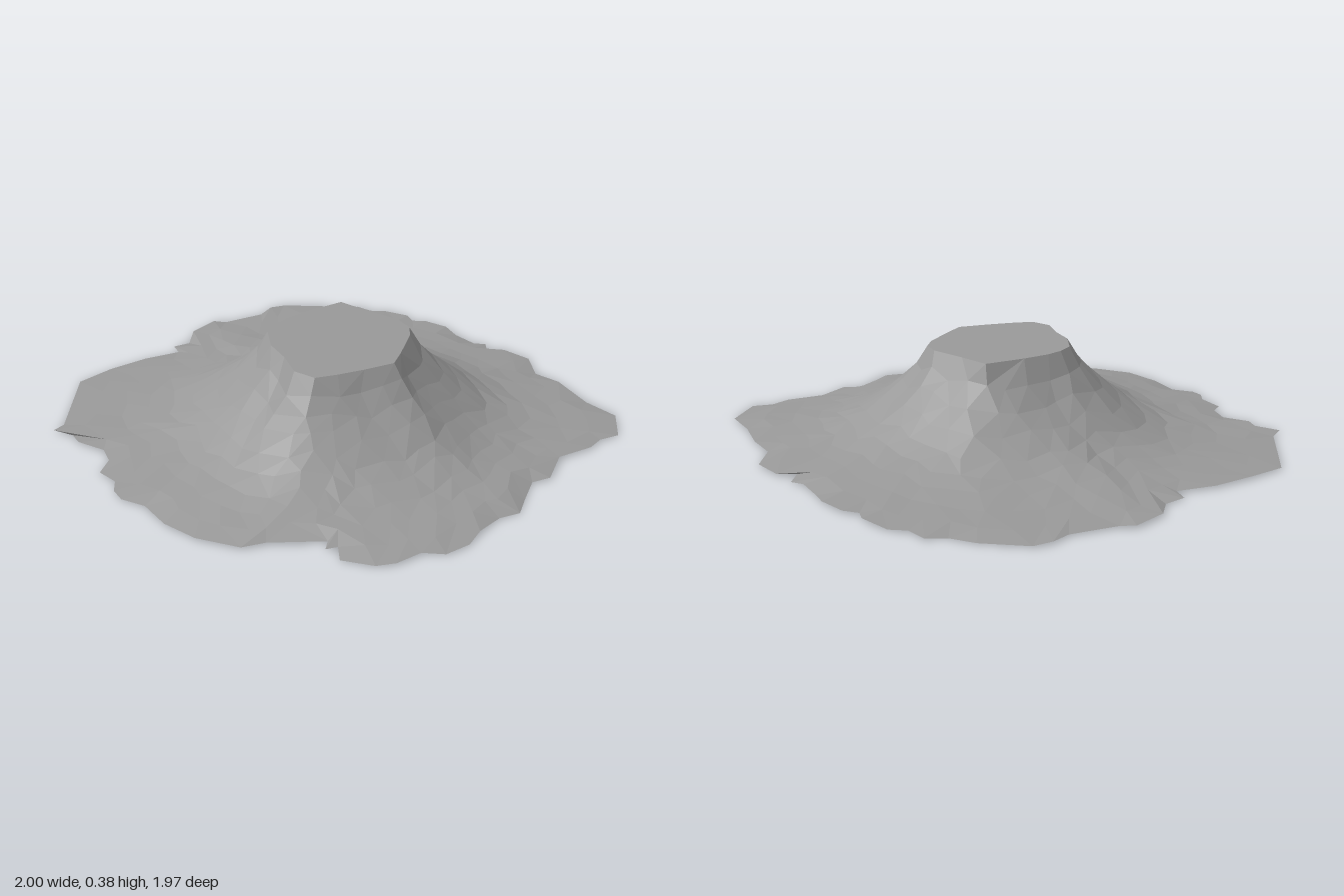
import * as THREE from 'three';

// Ragged foot of the hill, [x, z] pairs running from the left side (+x) round by the front
const FOOT = [
  [1, 0], [0.97, 0.08], [0.98, 0.2], [1, 0.28], [0.98, 0.38], [0.92, 0.44], [0.9, 0.54], [0.86, 0.6],
  [0.75, 0.66], [0.7, 0.62], [0.68, 0.66], [0.65, 0.62], [0.51, 0.78], [0.47, 0.86], [0.32, 0.94],
  [0.17, 0.96], [0.03, 0.94], [-0.06, 0.98], [-0.12, 0.97], [-0.17, 0.93], [-0.27, 0.93], [-0.31, 0.86],
  [-0.39, 0.83], [-0.5, 0.87], [-0.58, 0.85], [-0.65, 0.89], [-0.67, 0.83], [-0.93, 0.58], [-0.93, 0.42],
  [-0.91, 0.25], [-0.86, 0.1], [-0.92, 0.08], [-0.91, 0], [-0.98, -0.08], [-1, -0.22], [-0.96, -0.26],
  [-0.91, -0.44], [-0.93, -0.52], [-0.91, -0.59], [-0.78, -0.72], [-0.69, -0.77], [-0.65, -0.84],
  [-0.57, -0.85], [-0.52, -0.9], [-0.4, -0.93], [-0.35, -0.91], [-0.3, -0.95], [-0.19, -0.97], [-0.11, -0.95],
  [0.01, -0.94], [0.05, -0.97], [0.1, -0.92], [0.15, -0.98], [0.28, -0.99], [0.39, -0.9], [0.51, -0.9],
  [0.69, -0.85], [0.84, -0.84], [0.94, -0.71], [0.91, -0.63], [0.92, -0.55], [0.88, -0.4], [0.94, -0.26],
  [0.91, -0.19], [0.96, -0.08],
];
// Edge of the flat summit, same direction
const RIM = [
  [0.37, 0], [0.33, 0.12], [0.29, 0.22], [0.25, 0.3], [0.16, 0.32], [0.05, 0.27], [-0.06, 0.24], [-0.16, 0.17],
  [-0.19, 0.1], [-0.2, 0.03], [-0.19, -0.08], [-0.16, -0.24], [-0.03, -0.26], [0.12, -0.29], [0.2, -0.27],
  [0.25, -0.22], [0.29, -0.15], [0.33, -0.08],
];
// Slope: [distance out from the rim, height]
const SLOPE = [
  [0, 0.375], [0.04, 0.32], [0.1, 0.25], [0.17, 0.19], [0.25, 0.125], [0.34, 0.073], [0.43, 0.044], [0.55, 0.024],
  [0.7, 0.013], [1, 0.008],
];
// Rings between rim and foot: [fraction of the way out, number of points]
const RINGS = [[0.07, 24], [0.16, 28], [0.26, 32], [0.37, 38], [0.48, 44], [0.6, 50], [0.73, 56], [0.87, 64]];
const CX = 0.08;

function slopeHeight(d) {
  const i = Math.max(1, SLOPE.findIndex(([x]) => x >= d));
  const [a, ya] = SLOPE[i - 1], [b, yb] = SLOPE[i];
  return THREE.MathUtils.lerp(ya, yb, Math.min(1, (d - a) / (b - a)));
}

// Distance from the summit centre to an outline in direction (dx, dz)
function reach(outline, dx, dz) {
  for (let i = 0; i < outline.length; i++) {
    const [ax, az] = outline[i], [bx, bz] = outline[(i + 1) % outline.length];
    const ex = bx - ax, ez = bz - az, px = ax - CX;
    const det = dx * ez - dz * ex;
    const r = (px * ez - az * ex) / det, s = (px * dz - az * dx) / det;
    if (r > 0 && s >= -1e-6 && s <= 1 + 1e-6) return r;
  }
  return 0;
}

let seed = 7;
const jitter = () => {
  seed = (seed * 16807) % 2147483647;
  return seed / 2147483647 - 0.5;
};

// One ring of slope points, with broad gullies and a low ridge toward the right side
function slopeRing([t, count]) {
  return Array.from({ length: count }, (_, j) => {
    const angle = ((j + jitter() * 0.5) / count) * Math.PI * 2;
    const dx = Math.cos(angle), dz = Math.sin(angle);
    const rim = reach(RIM, dx, dz);
    const d = (reach(FOOT, dx, dz) - rim) * (t + jitter() * 0.03);
    const x = CX + dx * (rim + d), z = dz * (rim + d);
    const gully = 0.97 + 0.025 * Math.sin(angle * 7 + 1) + 0.02 * Math.sin(angle * 11 + d * 6);
    const ridge = 0.02 * Math.exp(-(((z + 0.13) / 0.1) ** 2) - ((x + 0.65) / 0.2) ** 2);
    return [x, slopeHeight(d) * gully + ridge + jitter() * 0.004, z];
  });
}

// Turn round the centre, from 0 at +x to 1, of a point in a ring
function turn(ring, j) {
  if (j >= ring.length) return 1 + turn(ring, j - ring.length);
  const a = Math.atan2(ring[j][2], ring[j][0] - CX) / (Math.PI * 2);
  return j < ring.length / 4 ? a : (a + 1) % 1;
}

// Triangles between two rings of different counts
function stitch(inner, outer, out) {
  let i = 0, o = 0;
  while (i < inner.length || o < outer.length) {
    const a = inner[i % inner.length], b = outer[o % outer.length];
    const stepInner = o >= outer.length || (i < inner.length && turn(inner, i + 1) < turn(outer, o + 1));
    const c = stepInner ? inner[++i % inner.length] : outer[++o % outer.length];
    out.push(...a, ...c, ...b);
  }
}

function flatMesh(name, positions) {
  const geometry = new THREE.BufferGeometry();
  geometry.setAttribute('position', new THREE.Float32BufferAttribute(positions, 3));
  geometry.computeVertexNormals();
  const material = new THREE.MeshStandardMaterial({ color: 0x999999, flatShading: true, side: THREE.DoubleSide });
  const mesh = new THREE.Mesh(geometry, material);
  mesh.name = name;
  return mesh;
}

export function createModel() {
  const group = new THREE.Group();
  group.name = 'flatToppedHill';

  // Slopes from the rim down to the ragged foot
  const rim = RIM.map(([x, z]) => [x, 0.377 - 0.01 * (x + 0.2), z]);
  const foot = FOOT.map(([x, z], i) => [x, i % 8 === 0 ? 0 : 0.006 + jitter() * 0.01, z]);
  const rings = [rim, ...RINGS.map(slopeRing), foot];
  const slopes = [];
  for (let k = 1; k < rings.length; k++) stitch(rings[k - 1], rings[k], slopes);
  group.add(flatMesh('slopes', slopes));

  // Flat summit fanned from its centre to the rim
  const summit = rim.flatMap((p, j) => [CX, 0.374, 0, ...rim[(j + 1) % rim.length], ...p]);
  group.add(flatMesh('summit', summit));

  return group;
}
